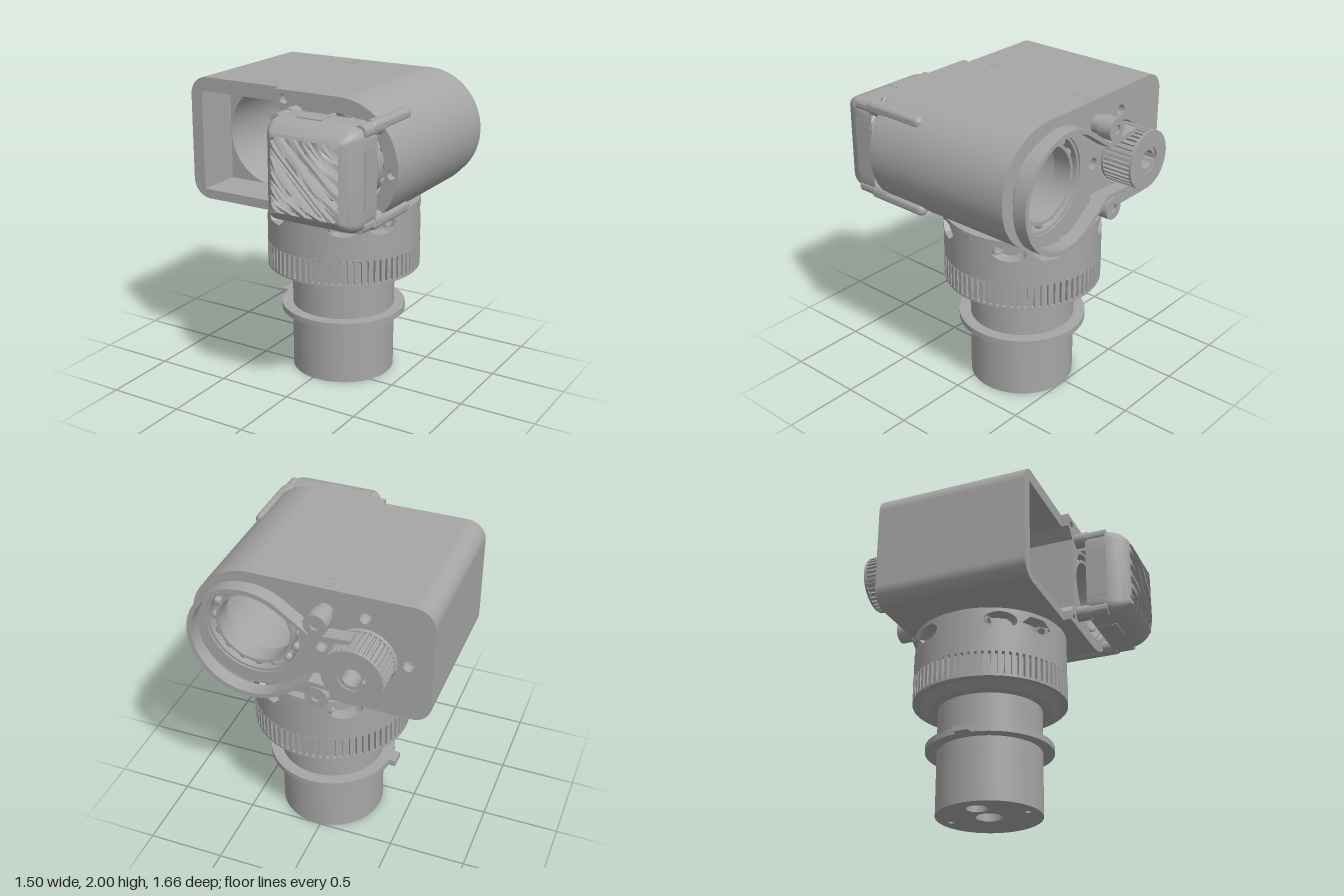
import * as THREE from 'three';
import { toCreasedNormals } from 'three/addons/utils/BufferGeometryUtils.js';

const gray = new THREE.MeshStandardMaterial({ color: 0xa6a6a6, side: THREE.DoubleSide });
gray.name = 'matte gray';

const NX = 0.035, NZ = -0.16;          // neck axis
const BX = 0.355, BY = 1.605;          // barrel axis
const MX = -0.345, MY = 1.59;          // motor and pulley axis
const CX = 0.338, CY = 1.59;           // cage centre

function add(parent, name, geo, x = 0, y = 0, z = 0) {
  const m = new THREE.Mesh(toCreasedNormals(geo, 0.6), gray);
  m.name = name;
  m.position.set(x, y, z);
  parent.add(m);
  return m;
}
const lathe = (pts, seg = 64) => new THREE.LatheGeometry(pts.map(p => new THREE.Vector2(...p)), seg);
// hollow cylinder running along z
const ring = (ro, ri, len, seg = 40) =>
  lathe([[ri, 0], [ro, 0], [ro, len], [ri, len], [ri, 0]], seg).rotateX(Math.PI / 2);
const rod = (r, len, seg = 28) => new THREE.CylinderGeometry(r, r, len, seg).rotateX(Math.PI / 2).translate(0, 0, len / 2);
const poly = pts => new THREE.Shape(pts.map(p => new THREE.Vector2(...p)));
const circle = (x, y, r) => new THREE.Path().absarc(x, y, r, 0, Math.PI * 2);
const extrude = (shape, depth) =>
  new THREE.ExtrudeGeometry(shape, { depth, bevelEnabled: false, curveSegments: 40 });

// housing outline: rounded left corners, half-round barrel on the right
function outline() {
  const s = new THREE.Shape(), r = 0.12, l = -0.755;
  s.moveTo(l + r, 1.21).lineTo(BX, 1.21);
  s.absarc(BX, BY, 0.395, -Math.PI / 2, Math.PI / 2);
  s.lineTo(l + r, 2);
  s.absarc(l + r, 2 - r, r, Math.PI / 2, Math.PI);
  s.lineTo(l, 1.21 + r);
  s.absarc(l + r, 1.21 + r, r, Math.PI, Math.PI * 1.5);
  return s;
}

function buildHousing(g) {
  const bore = () => circle(BX, BY, 0.31);
  const back = outline();
  back.holes.push(bore(), circle(MX, MY, 0.195));
  for (let i = 0; i < 4; i++)
    back.holes.push(circle(MX + 0.265 * Math.cos(i * Math.PI / 2), MY + 0.265 * Math.sin(i * Math.PI / 2), 0.037));
  add(g, 'housingBackWall', extrude(back, 0.06), 0, 0, -0.61);

  const mid = outline();
  mid.holes.push(bore(), circle(MX, MY, 0.325));
  add(g, 'housingMotorSection', extrude(mid, 0.65), 0, 0, -0.55);

  const front = outline();
  front.holes.push(bore(), poly([[-0.672, 1.27], [-0.09, 1.27], [-0.02, 1.34], [-0.02, 1.84], [-0.09, 1.91], [-0.672, 1.91]]));
  add(g, 'housingFrontSection', extrude(front, 0.3), 0, 0, 0.1);

  // raised barrel face with screw holes
  const face = new THREE.Shape();
  face.moveTo(-0.09, 1.21).lineTo(BX, 1.21);
  face.absarc(BX, BY, 0.395, -Math.PI / 2, Math.PI / 2);
  face.lineTo(-0.09, 2).lineTo(-0.09, 1.91).lineTo(-0.02, 1.84).lineTo(-0.02, 1.34).lineTo(-0.09, 1.27);
  face.holes.push(bore(), circle(-0.025, 1.945, 0.03), circle(-0.025, 1.25, 0.025), circle(0.708, 1.585, 0.028));
  add(g, 'barrelFace', extrude(face, 0.05), 0, 0, 0.4);

  // top markers
  for (const [x, z, r] of [[-0.18, 0.25, 0.043], [-0.105, -0.555, 0.03]])
    add(g, 'topHole', new THREE.CylinderGeometry(r, r, 0.004, 28), x, 2, z);
  add(g, 'topSlot', new THREE.BoxGeometry(0.085, 0.004, 0.04), -0.105, 2, -0.485);

  // ball bearings at both barrel ends
  for (const z of [-0.6, 0.3]) {
    add(g, 'bearingOuterRace', ring(0.31, 0.292, 0.12), BX, BY, z);
    add(g, 'bearingInnerRace', ring(0.25, 0.23, 0.12), BX, BY, z);
    for (let i = 0; i < 16; i++) {
      const a = i * Math.PI / 8;
      add(g, 'bearingBall', new THREE.SphereGeometry(0.028, 14, 10), BX + 0.271 * Math.cos(a), BY + 0.271 * Math.sin(a), z + 0.05);
    }
  }
}

function buildDrive(g) {
  // toothed pulley with keyed bore
  const p = new THREE.Shape(), n = 36;
  for (let i = 0; i < n; i++)
    for (const [f, r] of [[0, 0.172], [0.4, 0.172], [0.5, 0.187], [0.9, 0.187]]) {
      const a = (i + f) / n * Math.PI * 2;
      i + f === 0 ? p.moveTo(r, 0) : p.lineTo(r * Math.cos(a), r * Math.sin(a));
    }
  const key = new THREE.Path();
  key.moveTo(-0.082, -0.02).lineTo(-0.057, -0.02);
  key.absarc(0, 0, 0.06, Math.PI + 0.34, Math.PI * 3 - 0.34);
  key.lineTo(-0.082, 0.02);
  p.holes.push(key);
  add(g, 'pulley', extrude(p, 0.2), MX, MY, -0.82);
  for (const z of [-0.83, -0.625]) add(g, 'pulleyRim', ring(0.187, 0.085, 0.015), MX, MY, z);

  // drive belt: wide loop around the barrel, narrowing to the pulley
  const path = d => {
    const pts = [[-0.31, -0.2 + d], [-0.05, -0.185 + d]];
    for (let i = 0; i <= 50; i++) {
      const a = (-125 + i * 5) * Math.PI / 180;
      pts.push([0.34 + (0.38 - d) * Math.cos(a), (0.38 - d) * Math.sin(a)]);
    }
    return pts.concat([[-0.05, 0.185 - d], [-0.31, 0.2 - d]]);
  };
  add(g, 'belt', extrude(poly([...path(0), ...path(0.03).reverse()]), 0.09), 0, MY, -0.755);

  // belt tensioners
  for (const s of [-1, 1]) {
    add(g, 'tensionerPost', ring(0.056, 0.025, 0.06), -0.1, MY + s * 0.257, -0.67);
    add(g, 'tensionerRoller', ring(0.072, 0.03, 0.095), -0.1, MY + s * 0.257, -0.763);
    add(g, 'tensionerCore', rod(0.032, 0.1), -0.1, MY + s * 0.257, -0.745);
  }
}

function buildCage(g) {
  const domeZ = h => 0.62 + 0.21 * Math.sqrt(Math.max(0, 1 - (Math.max(0, h - 0.14) / 0.178) ** 2));
  // domed side shell from rounded-square sections
  const pos = [], idx = [], rows = 10, cs = 8, per = 4 * (cs + 1);
  for (let k = 0; k <= rows; k++) {
    const a = Math.max(0, k - 1) / (rows - 1);
    const h = k ? 0.14 + 0.178 * Math.cos(a * 0.975) : 0.318;
    const z = k ? domeZ(h) : 0.525, r = 0.1 - 0.08 * a;
    for (let q = 0; q < 4; q++)
      for (let i = 0; i <= cs; i++) {
        const t = (q + i / cs) * Math.PI / 2;
        const sx = q === 0 || q === 3 ? 1 : -1, sy = q < 2 ? 1 : -1;
        pos.push(sx * (h - r) + r * Math.cos(t), sy * (h - r) + r * Math.sin(t), z);
      }
  }
  for (let k = 0; k < rows; k++)
    for (let i = 0; i < per; i++) {
      const a = k * per + i, b = k * per + (i + 1) % per;
      idx.push(a, b, b + per, a, b + per, a + per);
    }
  const shell = new THREE.BufferGeometry();
  shell.setAttribute('position', new THREE.Float32BufferAttribute(pos, 3));
  shell.setIndex(idx);
  add(g, 'cageShell', shell, CX, CY, 0);

  // front grille: diagonal slots, bent to follow the dome
  const h = 0.24, plate = new THREE.Shape();
  const sides = [[-h, -h], [h, -h], [h, h], [-h, h]];
  sides.forEach(([x, y], i) => {
    const [u, v] = sides[(i + 1) % 4];
    for (let k = 0; k < 8; k++) {
      const px = x + (u - x) * k / 8, py = y + (v - y) * k / 8;
      i + k === 0 ? plate.moveTo(px, py) : plate.lineTo(px, py);
    }
  });
  const D = 0.225 * Math.SQRT2, w = 0.019;
  for (let k = -4; k <= 4; k++) {
    const pts = [];
    for (const e of [-1, 1]) {
      const s = k * 0.066 + e * w, L = D - Math.abs(s);
      for (let i = 0; i <= 12; i++) {
        const t = e * L * (1 - i / 6);
        pts.push(new THREE.Vector2((s + t) / Math.SQRT2, (s - t) / Math.SQRT2));
      }
    }
    plate.holes.push(new THREE.Path(pts));
  }
  const grille = extrude(plate, 0.025), p = grille.attributes.position;
  for (let i = 0; i < p.count; i++)
    p.setZ(i, p.getZ(i) - 0.025 + domeZ(Math.max(Math.abs(p.getX(i)), Math.abs(p.getY(i)))));
  add(g, 'cageGrille', grille, CX, CY, 0);

  // corner posts and screws, side arms along the barrel
  for (const sx of [-1, 1])
    for (const sy of [-1, 1]) {
      const x = CX + sx * 0.276, y = CY + sy * 0.276;
      add(g, 'cagePost', rod(0.05, 0.12), x, y, 0.42);
      add(g, 'cageScrew', ring(0.043, 0.026, 0.13), x, y, 0.53);
      add(g, 'cageScrewCore', rod(0.028, 0.1), x, y, 0.54);
      if (sx > 0)
        add(g, 'cageArm', new THREE.CapsuleGeometry(0.038, 0.38, 8, 24).rotateX(Math.PI / 2), 0.627, CY + sy * 0.287, 0.338);
    }
  // shallow panels on the cage sides
  for (const s of [-1, 1]) {
    add(g, 'cageSidePanel', new THREE.BoxGeometry(0.006, 0.36, 0.12), CX + s * 0.317, CY, 0.605);
    add(g, 'cageEdgePanel', new THREE.BoxGeometry(0.165, 0.006, 0.14), 0.285, CY + s * 0.317, 0.597);
  }
}

// one eighth of the collar wall, with a recessed opening
function collarPanel(i) {
  const N = 48, K = 5, pos = [], idx = [], rad = Math.PI / 180;
  const t0 = i * 45, c = t0 + (i % 2 ? 14.5 : 30.5), hex = i % 2 === 0;
  for (let k = 0; k <= K; k++)
    for (let j = 0; j < N; j++) {
      const f = j / N * Math.PI * 2, co = Math.cos(f), si = Math.sin(f);
      const m = Math.max(Math.abs(co), Math.abs(si)), u = co / m, v = si / m;
      const step = Math.PI / 3, q = hex ? 0.9 / Math.cos((((f + step / 2 - Math.PI / 2) % step + step) % step) - step / 2) : 1;
      const e = Math.max(0, k - 1) / (K - 1);
      const th = c + (1 - e) * 12.3 * q * co + e * u * (u > 0 ? t0 + 45 - c : c - t0);
      const y = 1.13 + (1 - e) * 0.056 * q * si + e * v * (v > 0 ? 0.08 : 0.22);
      const r = k ? 0.503 : 0.42;
      pos.push(r * Math.cos(th * rad), y, r * Math.sin(th * rad));
      if (k < K) {
        const a = k * N + j, b = k * N + (j + 1) % N;
        idx.push(a, b + N, b, a, a + N, b + N);
      }
    }
  const geo = new THREE.BufferGeometry();
  geo.setAttribute('position', new THREE.Float32BufferAttribute(pos, 3));
  geo.setIndex(idx);
  return geo;
}

function buildNeck(g) {
  for (let i = 0; i < 8; i++) add(g, 'collarPanel', collarPanel(i));
  add(g, 'collarTop', lathe([[0.503, 1.21], [0, 1.21]]));
  add(g, 'collarCore', new THREE.CylinderGeometry(0.37, 0.37, 0.3, 48), 0, 1.055, 0);
  // clamp bolts and nuts
  for (let k = 0; k < 4; k++) {
    const b = new THREE.Group();
    b.name = 'clampBolt';
    b.rotation.y = k * Math.PI / 2;
    add(b, 'clampNut', ring(0.055, 0.03, 0.17, 6), 0.42, 1.13, 0);
    add(b, 'clampHead', ring(0.05, 0.03, 0.17, 24), 0.42, 1.13, -0.17);
    g.add(b);
  }
  // grip ring with ribs
  add(g, 'gripRing', lathe([[0.3, 0.7], [0.4, 0.7], [0.455, 0.742], [0.505, 0.742], [0.505, 0.757],
    [0.482, 0.757], [0.482, 0.9], [0.503, 0.91], [0.3, 0.91]], 96));
  for (let i = 0; i < 72; i++) {
    const a = i / 72 * Math.PI * 2;
    add(g, 'gripRib', new THREE.BoxGeometry(0.03, 0.155, 0.026), 0.49 * Math.cos(a), 0.832, 0.49 * Math.sin(a)).rotation.y = -a;
  }
  // lower tube with drilled base, flange and locating tab
  add(g, 'tube', lathe([[0.34, 0], [0.34, 0.7]]));
  const base = new THREE.Shape().absarc(0, 0, 0.34, 0, Math.PI * 2);
  base.holes.push(circle(0, 0, 0.085), circle(-0.19, 0, 0.068), circle(0.01, 0.265, 0.02), circle(-0.01, -0.265, 0.02));
  add(g, 'tubeBase', extrude(base, 0.3).rotateX(-Math.PI / 2));
  add(g, 'flange', lathe([[0.33, 0.415], [0.414, 0.415], [0.414, 0.455], [0.33, 0.455]]));
  add(g, 'flangeTab', new THREE.BoxGeometry(0.1, 0.04, 0.1), -0.405, 0.435, 0);
}

export function createModel() {
  const model = new THREE.Group();
  model.name = 'motorizedHead';
  const parts = { housing: buildHousing, drive: buildDrive, cage: buildCage, neck: buildNeck };
  for (const [name, build] of Object.entries(parts)) {
    const g = new THREE.Group();
    g.name = name;
    build(g);
    model.add(g);
  }
  model.getObjectByName('neck').position.set(NX, 0, NZ);
  return model;
}
